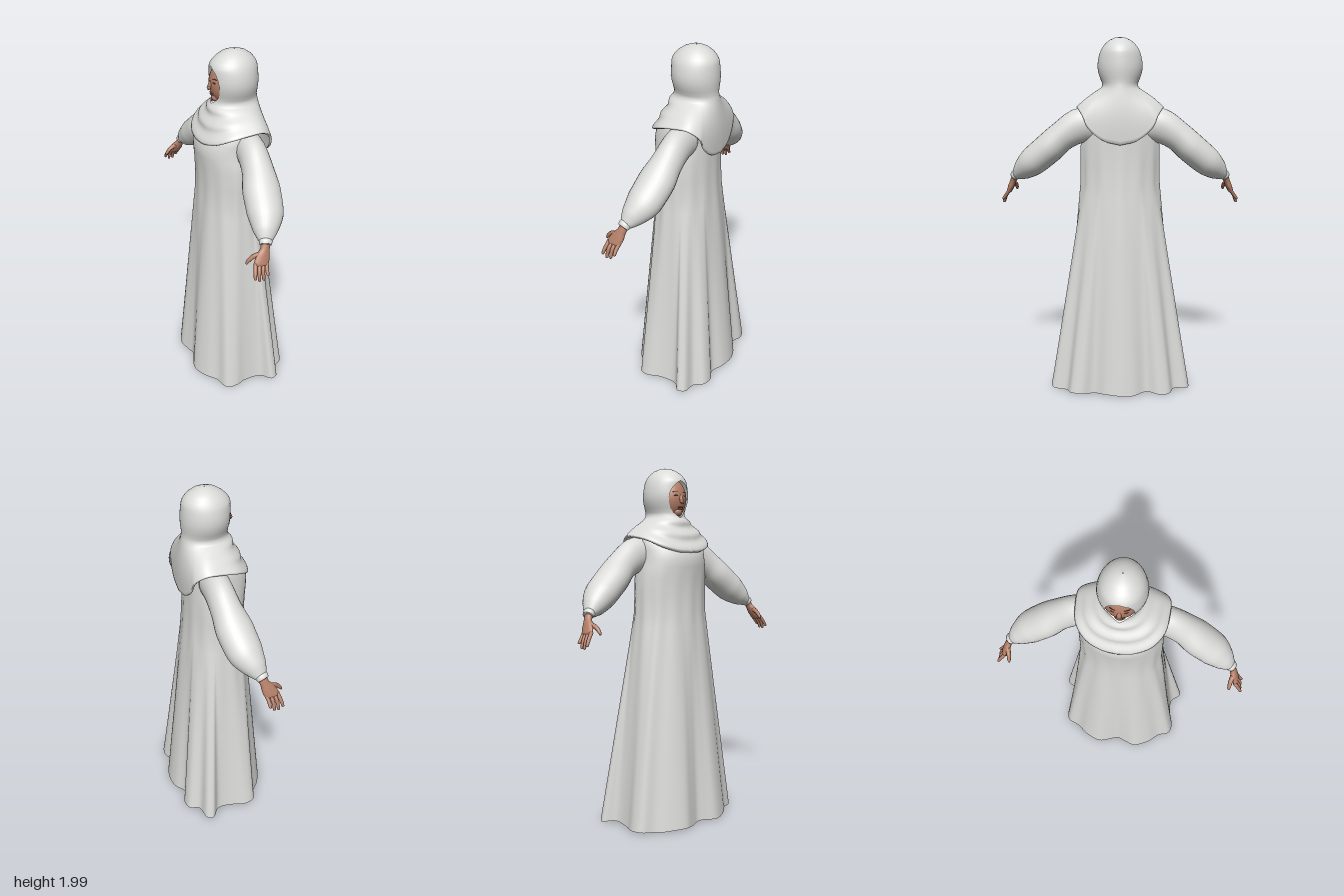
import * as THREE from 'three';

const mat = (name, color) => {
  const m = new THREE.MeshStandardMaterial({ color, side: THREE.DoubleSide });
  m.name = name;
  return m;
};
const V = (x, y, z) => new THREE.Vector3(x, y, z);

// Smooth surface through rows of points; closed joins the last column to the first
function loft(rows, closed) {
  const n = rows[0].length, pos = [], idx = [];
  rows.forEach(r => r.forEach(p => pos.push(p.x, p.y, p.z)));
  for (let j = 0; j < rows.length - 1; j++) {
    for (let i = 0; i < (closed ? n : n - 1); i++) {
      const a = j * n + i, b = j * n + (i + 1) % n;
      idx.push(a, a + n, b, b, a + n, b + n);
    }
  }
  const g = new THREE.BufferGeometry();
  g.setAttribute('position', new THREE.Float32BufferAttribute(pos, 3));
  g.setIndex(idx);
  g.computeVertexNormals();
  return g;
}

// Tapered limb through stations [x, y, z, widthRadius, depthRadius]; s mirrors z
function limb(st, s = 1, steps = 24, sides = 20) {
  const curve = new THREE.CatmullRomCurve3(st.map(p => V(p[0], p[1], p[2] * s)));
  const radii = new THREE.CatmullRomCurve3(st.map(p => V(p[3], p[4] ?? p[3], 0)));
  const rows = [];
  for (let k = 0; k <= steps; k++) {
    const t = k / steps, c = curve.getPoint(t), r = radii.getPoint(t), d = curve.getTangent(t);
    const side = V(1, 0, 0).addScaledVector(d, -d.x).normalize();
    const up = d.clone().cross(side);
    rows.push(Array.from({ length: sides }, (_, i) => {
      const a = -i / sides * Math.PI * 2;
      return c.clone().addScaledVector(side, r.x * Math.cos(a)).addScaledVector(up, r.y * Math.sin(a));
    }));
  }
  // closed ends
  const cap = t => rows[0].map(() => curve.getPoint(t));
  return loft([cap(0), ...rows, cap(1)], true);
}

export function createModel() {
  const root = new THREE.Group();
  root.name = 'robedFigure';
  const cloth = mat('paleGreyCloth', 0xdadad8), skin = mat('brownSkin', 0xb27d66);
  const leather = mat('sandalLeather', 0xa06a55), dark = mat('darkBrown', 0x4a3028), lip = mat('lipRose', 0xa0614f);
  const add = (name, geo, m, parent = root) => {
    const mesh = new THREE.Mesh(geo, m);
    mesh.name = name;
    parent.add(mesh);
    return mesh;
  };
  const ball = (name, m, p, r, parent) => {
    const b = add(name, new THREE.SphereGeometry(1, 32, 24), m, parent);
    b.position.set(...p);
    b.scale.set(...r);
    return b;
  };

  // Robe: wavy hem blended into the waist, then the bodice
  const half = [[.28, 0], [.265, .08], [.225, .15], [.25, .22], [.235, .28], [.18, .31], [.16, .385], [.12, .4], [.07, .345],
    [-.03, .345], [-.1, .365], [-.16, .35], [-.19, .28], [-.24, .22], [-.28, .12], [-.26, .05], [-.245, 0]];
  const outline = [...half, ...half.slice(1, -1).reverse().map(([x, z]) => [x, -z])];
  const hem = new THREE.CatmullRomCurve3(outline.map(([x, z]) => V(x, 0, z)), true).getPoints(160).slice(0, 160);
  const section = (y, x0, x1, rz, fold = 0) => hem.map(p => {
    const a = Math.atan2(p.z / .4, p.x / .28), f = 1 + fold * Math.cos(14 * a);
    return V((x0 + x1) / 2 + (x1 - x0) / 2 * f * Math.cos(a), y, rz * f * Math.sin(a));
  });
  const waist = section(1.2, -.175, .158, .226, .014);
  const robe = [];
  for (let k = 0; k <= 16; k++) {
    const t = 1 - k / 16;
    robe.push(waist.map((w, i) => {
      const p = w.clone().lerp(hem[i], t);
      p.y = 1.2 - 1.185 * t + (k ? 0 : .004 * Math.sin(i * .43));
      return p;
    }));
  }
  [[1.3, -.172, .152, .226, .01], [1.4, -.176, .15, .225, .005], [1.46, -.183, .15, .215], [1.5, -.185, .15, .206],
    [1.55, -.175, .148, .205], [1.6, -.135, .14, .205], [1.64, -.1, .125, .182], [1.68, -.06, .11, .13],
    [1.72, -.03, .08, .06], [1.73, .024, .026, .001]].forEach(s => robe.push(section(...s)));
  add('robe', loft(robe, true), cloth);

  // Headscarf: rows [y, centreX, radiusX, radiusZ, faceOpeningHalfAngle], then the cape
  const cols = 96;
  const ring = (y, cx, rx, rz, w) => Array.from({ length: cols + 1 }, (_, i) => {
    const a = (i / cols * 2 - 1) * (Math.PI - w);
    return V(cx + rx * Math.cos(a), y, rz * Math.sin(a));
  });
  const scarf = [[2, .032, .002, .002, 0], [1.996, .032, .034, .03, 0], [1.984, .031, .066, .058, 0], [1.965, .03, .094, .081, 0],
    [1.945, .028, .113, .097, 0], [1.928, .027, .123, .106, 0], [1.914, .027, .126, .112, .24], [1.895, .028, .127, .117, .42],
    [1.87, .028, .129, .122, .54], [1.84, .029, .13, .124, .6], [1.81, .03, .128, .12, .6], [1.78, .032, .123, .11, .54],
    [1.757, .033, .121, .1, .4], [1.74, .033, .124, .098, .2], [1.726, .032, .127, .108, 0]].map(r => ring(...r));
  const neck = scarf[scarf.length - 1];
  const edge = new THREE.CatmullRomCurve3([[-.187, 1.54, 0], [-.178, 1.545, .08], [-.14, 1.57, .17], [-.07, 1.605, .225],
    [.02, 1.622, .238], [.1, 1.622, .235], [.155, 1.58, .205], [.168, 1.52, .178], [.178, 1.455, .1], [.182, 1.43, 0]]
    .map(p => V(...p)));
  for (let k = 1; k <= 18; k++) {
    const s = k / 18;
    scarf.push(neck.map((p, i) => {
      const u = i / cols * 2 - 1, v = 1 - Math.abs(u);
      const e = edge.getPoint(v);
      if (u < 0) e.z *= -1;
      const q = p.clone().lerp(e, s), front = Math.max(0, 1 - v * 1.8);
      // draped folds under the chin
      const bulge = .009 * Math.sin(s * Math.PI * 5) * front * (1 - s * .5) + .01 * Math.sin(s * Math.PI) * (1 - front);
      q.x += Math.sign(q.x) * bulge * Math.min(1, Math.abs(q.x) * 12);
      q.z += Math.sign(u) * bulge * Math.min(1, Math.abs(q.z) * 8);
      return q;
    }));
  }
  // hem turned under
  scarf.push(scarf[scarf.length - 1].map(p => V(p.x * .94, p.y - .006, p.z * .95)));
  add('headscarf', loft(scarf, false), cloth);

  // Face
  const face = new THREE.Group();
  face.name = 'face';
  root.add(face);
  ball('faceSkin', skin, [-.015, 1.83, 0], [.086, .112, .088], face);
  ball('chin', skin, [-.068, 1.758, 0], [.026, .024, .03], face);
  const nose = ball('nose', skin, [-.1, 1.828, 0], [.011, .03, .011], face);
  nose.rotation.z = -.35;
  ball('noseTip', skin, [-.107, 1.814, 0], [.01, .009, .014], face);
  ball('upperLip', lip, [-.095, 1.784, 0], [.005, .004, .02], face);
  ball('lowerLip', lip, [-.094, 1.776, 0], [.005, .005, .017], face);
  for (const s of [1, -1]) {
    const eye = ball('eye', dark, [-.092, 1.846, s * .033], [.003, .004, .012], face);
    const brow = ball('brow', dark, [-.088, 1.866, s * .035], [.003, .002, .016], face);
    eye.rotation.y = brow.rotation.y = s * .4;
  }

  // Arms and legs, mirrored across z
  for (const s of [1, -1]) {
    const name = s > 0 ? 'left' : 'right';
    const arm = new THREE.Group(), foot = new THREE.Group();
    arm.name = name + 'Arm';
    foot.name = name + 'Foot';
    root.add(arm, foot);

    add('sleeve', limb([[.035, 1.53, .13, .076, .092], [.035, 1.522, .22, .075, .096], [.027, 1.465, .32, .082, .084],
      [.012, 1.395, .4, .098, .086], [-.008, 1.32, .49, .094, .083], [-.037, 1.265, .557, .064, .06],
      [-.052, 1.237, .592, .038, .034], [-.056, 1.23, .602, .028, .025]], s, 32, 28), cloth, arm);
    add('cuff', limb([[-.05, 1.243, .59, .03, .027], [-.056, 1.233, .601, .034, .03], [-.061, 1.222, .612, .03, .026]], s, 8), cloth, arm);
    add('palm', limb([[-.055, 1.235, .6, .024, .019], [-.065, 1.205, .615, .024, .018], [-.082, 1.17, .63, .036, .018],
      [-.098, 1.138, .645, .039, .015], [-.1, 1.126, .65, .03, .009]], s), skin, arm);
    [1.077, 1.062, 1.064, 1.085].forEach((tip, i) => {
      add('finger', limb([[-.127 + .02 * i, 1.145, .64, .0108], [-.139 + .021 * i, 1.108, .667, .0098],
        [-.145 + .023 * i, tip + .004, .681, .0075], [-.145 + .023 * i, tip, .682, .003]], s, 10, 10), skin, arm);
    });
    add('thumb', limb([[-.085, 1.185, .625, .015], [-.132, 1.168, .613, .012], [-.157, 1.143, .61, .009],
      [-.163, 1.132, .611, .004]], s, 10, 10), skin, arm);

    // Leg, foot and sandal
    add('leg', limb([[.04, .5, .11, .05], [.045, .3, .115, .048], [.035, .15, .12, .032], [.03, .06, .12, .033]], s), skin, foot);
    ball('footSkin', skin, [-.055, .05, s * .12], [.115, .028, .038], foot);
    const sole = add('sandalSole', new THREE.CylinderGeometry(1, 1, .018, 36), leather, foot);
    sole.scale.set(.135, 1, .046);
    sole.position.set(-.06, .024, s * .12);
    for (const x of [-.12, -.07]) {
      const strap = add('sandalStrap', new THREE.TorusGeometry(.043, .007, 8, 24, Math.PI), leather, foot);
      strap.rotation.y = Math.PI / 2;
      strap.scale.set(1, 1.2, 2);
      strap.position.set(x, .03, s * .12);
    }
    const heel = add('heelStrap', new THREE.TorusGeometry(.045, .005, 8, 32), leather, foot);
    heel.rotation.x = Math.PI / 2;
    heel.position.set(.025, .065, s * .12);
  }
  return root;
}
